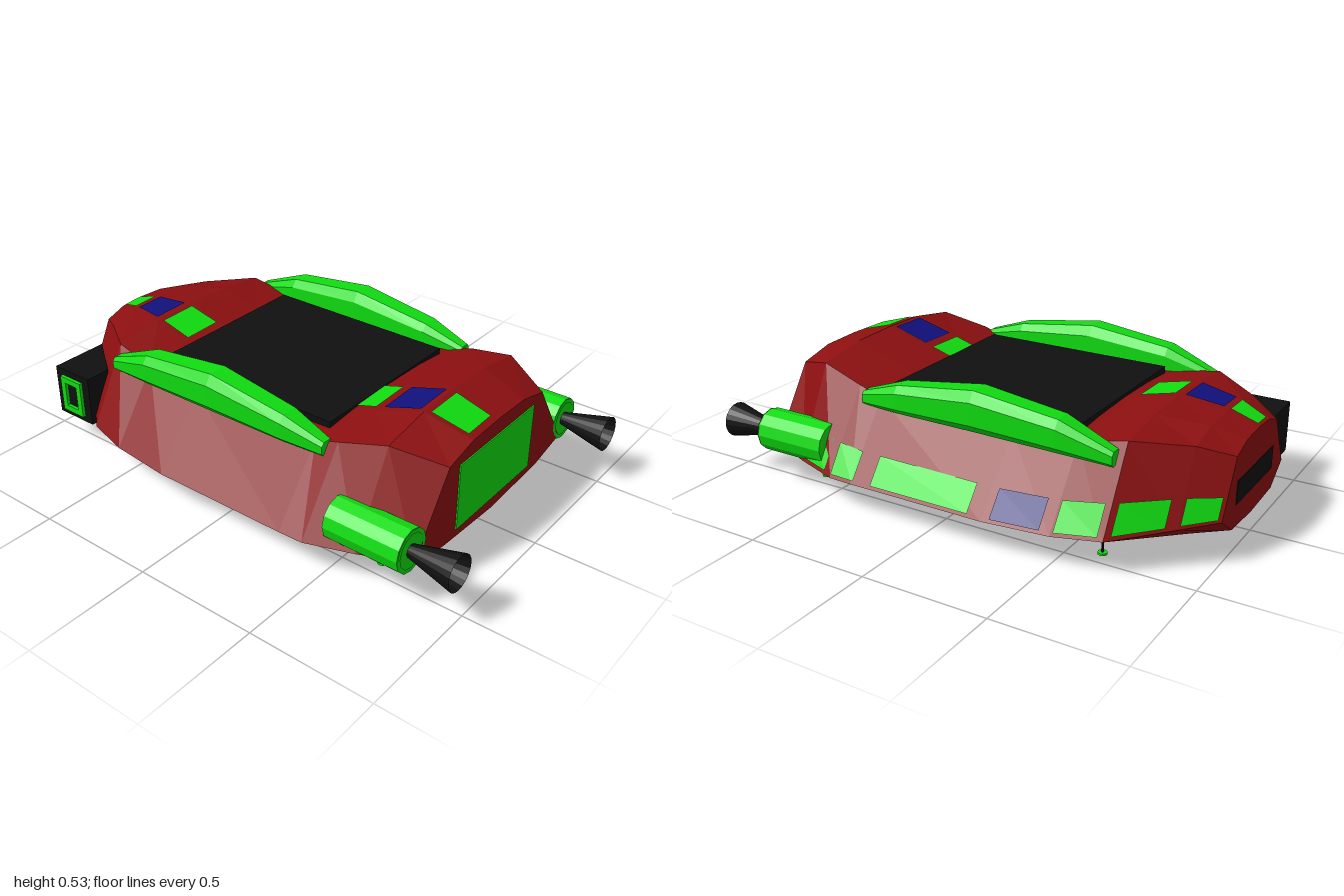
import * as THREE from 'three';

const paint = (color, extra = {}) =>
  new THREE.MeshStandardMaterial({ color, flatShading: true, ...extra });

// Hull stations, nose to tail:
// z, keelY, chineX, chineY, wideX, wideY, shoulderX, shoulderY, innerX, innerY, ridgeY
const STATIONS = [
  [0.81, 0.075, 0.33, 0.095, 0.51, 0.135, 0.32, 0.42, 0.175, 0.455, 0.46],
  [0.62, 0.05, 0.40, 0.07, 0.585, 0.125, 0.41, 0.475, 0.2, 0.51, 0.515],
  [0.43, 0.035, 0.46, 0.055, 0.645, 0.12, 0.44, 0.43, 0.21, 0.452, 0.457],
  [0.33, 0.033, 0.46, 0.055, 0.648, 0.12, 0.44, 0.40, 0.21, 0.422, 0.427],
  [-0.25, 0.028, 0.46, 0.053, 0.65, 0.12, 0.435, 0.385, 0.21, 0.40, 0.405],
  [-0.51, 0.027, 0.44, 0.055, 0.625, 0.122, 0.425, 0.40, 0.205, 0.417, 0.422],
  [-0.69, 0.035, 0.40, 0.06, 0.58, 0.13, 0.41, 0.435, 0.2, 0.46, 0.465],
  [-0.88, 0.06, 0.28, 0.08, 0.41, 0.15, 0.28, 0.41, 0.15, 0.44, 0.445],
  [-1.0, 0.08, 0.2, 0.09, 0.305, 0.165, 0.2, 0.37, 0.11, 0.4, 0.405],
];

const mix = (a, b, t) => a + (b - a) * t;

// Hull station interpolated at any z
function stationAt(z) {
  let i = 0;
  while (i < STATIONS.length - 2 && z < STATIONS[i + 1][0]) i++;
  const [a, b] = [STATIONS[i], STATIONS[i + 1]];
  const t = (z - a[0]) / (b[0] - a[0]);
  return a.map((v, k) => mix(v, b[k], t));
}

// Skin through rings ordered front to back, each counter-clockwise seen from +z
function loft(rings, closed) {
  const n = rings[0].length, idx = [];
  for (let r = 0; r < rings.length - 1; r++) {
    for (let k = 0; k < (closed ? n : n - 1); k++) {
      const a = r * n + k, b = r * n + (k + 1) % n;
      idx.push(a, a + n, b, b, a + n, b + n);
    }
  }
  if (closed) {
    const last = (rings.length - 1) * n;
    for (let k = 1; k < n - 1; k++) idx.push(0, k, k + 1, last, last + k + 1, last + k);
  }
  const g = new THREE.BufferGeometry();
  g.setAttribute('position', new THREE.Float32BufferAttribute(rings.flat(2), 3));
  g.setIndex(idx);
  const flat = g.toNonIndexed();
  flat.computeVertexNormals();
  return flat;
}

// Thin strip laid on the hull between z0 (front) and z1 (back)
function hullStrip(z0, z1, section) {
  const inner = STATIONS.map((s) => s[0]).filter((z) => z < z0 && z > z1);
  return loft([z0, ...inner, z1].map((z) => section(stationAt(z))), false);
}

export function createModel() {
  const model = new THREE.Group();
  const red = paint(0x8c0f10), green = paint(0x10dd10), blue = paint(0x10107c);
  const black = paint(0x101010), blackOpen = paint(0x101010, { side: THREE.DoubleSide });
  const greenOpen = paint(0x10dd10, { side: THREE.DoubleSide });

  const add = (name, geometry, material, x = 0, y = 0, z = 0) => {
    const m = new THREE.Mesh(geometry, material);
    m.name = name;
    m.position.set(x, y, z);
    model.add(m);
    return m;
  };

  // Faceted hull
  add('hull', loft(STATIONS.map(([z, kY, cX, cY, wX, wY, sX, sY, iX, iY, rY]) => [
    [0, kY, z], [cX, cY, z], [wX, wY, z], [sX, sY, z], [iX, iY, z],
    [0, rY, z], [-iX, iY, z], [-sX, sY, z], [-wX, wY, z], [-cX, cY, z],
  ]), true), red);

  // Green belly plate
  add('bellyPlate', hullStrip(0.81, -1, ([z, kY, cX, cY]) => [
    [-cX, cY - 0.004, z], [0, kY - 0.004, z], [cX, cY - 0.004, z],
  ]), green);

  // Broken stripe along the roof
  const roof = [[0.785, 0.64, green], [0.6, 0.45, blue], [0.415, 0.33, green],
    [-0.53, -0.67, green], [-0.71, -0.86, blue], [-0.885, -0.99, green]];
  for (const [z0, z1, mat] of roof) {
    add('roofStripe', hullStrip(z0, z1, (s) => {
      const x = s[8] * 0.93;
      return [[-0.02, s[10] + 0.004, s[0]], [-x, s[9] + 0.005, s[0]]];
    }), mat);
  }

  // Broken stripe along the left flank
  const flank = [[0.6, 0.47, green], [0.43, 0.32, green], [0.24, -0.19, green],
    [-0.28, -0.47, blue], [-0.52, -0.67, green], [-0.71, -0.85, green], [-0.89, -0.99, green]];
  for (const [z0, z1, mat] of flank) {
    add('flankStripe', hullStrip(z0, z1, (s) => [0.04, 0.38].map((t) =>
      [mix(s[4], s[6], t) + 0.006, mix(s[5], s[7], t) + 0.003, s[0]])), mat);
  }

  // Stripe under the right chine
  const chine = [[0.42, 0.3, green], [0.24, -0.42, blue], [-0.48, -0.66, green], [-0.71, -0.85, green]];
  for (const [z0, z1, mat] of chine) {
    add('chineStripe', hullStrip(z0, z1, (s) => [0.15, 0.75].map((t) =>
      [-mix(s[4], s[2], t), mix(s[5], s[3], t) - 0.005, s[0]])), mat);
  }

  // Deck, nose panel and tail vent
  add('deck', new THREE.BoxGeometry(0.715, 0.04, 0.81), black, 0, 0.412, -0.075);
  add('nosePanel', new THREE.BoxGeometry(0.51, 0.27, 0.01), green, 0, 0.26, 0.81);
  add('tailVent', new THREE.BoxGeometry(0.36, 0.09, 0.01), black, 0, 0.225, -0.998);

  // Roof pod cross-sections: z, half width, bottom, top
  const podRows = [[0.39, 0.03, 0.37, 0.425], [0.22, 0.055, 0.37, 0.482],
    [-0.12, 0.066, 0.372, 0.53], [-0.46, 0.057, 0.365, 0.49], [-0.665, 0.03, 0.355, 0.41]];
  const podGeometry = loft(podRows.map(([z, w, b, t]) => {
    const c = w * 0.6, lo = mix(b, t, 0.2), hi = mix(b, t, 0.75);
    return [[-c, b, z], [c, b, z], [w, lo, z], [w, hi, z], [c, t, z], [-c, t, z], [-w, hi, z], [-w, lo, z]];
  }), true);

  // Engine and flared nozzle
  const engineGeometry = new THREE.CylinderGeometry(0.085, 0.085, 0.31, 12).rotateX(Math.PI / 2);
  const rimGeometry = new THREE.RingGeometry(0.068, 0.085, 12);
  const nozzleGeometry = new THREE.CylinderGeometry(0.07, 0.026, 0.19, 20, 1, true).rotateX(Math.PI / 2);
  const throatGeometry = new THREE.CircleGeometry(0.026, 20);
  const ridgeGeometry = new THREE.SphereGeometry(1, 8, 10).scale(0.042, 0.02, 0.46);

  for (const side of [-1, 1]) {
    add('roofPod', podGeometry, green, side * 0.45);
    add('engine', engineGeometry, green, side * 0.535, 0.203, 0.655);
    add('engineRim', rimGeometry, greenOpen, side * 0.535, 0.203, 0.813);
    add('nozzle', nozzleGeometry, blackOpen, side * 0.535, 0.203, 0.905);
    add('nozzleThroat', throatGeometry, blackOpen, side * 0.535, 0.203, 0.815);
    add('bellyRidge', ridgeGeometry, green, side * 0.3, 0.044, -0.03);
    // Landing legs
    for (const z of [0.63, -0.62]) {
      add('leg', new THREE.CylinderGeometry(0.005, 0.005, 0.09, 8), black, side * 0.437, 0.05, z);
      add('foot', new THREE.CylinderGeometry(0.018, 0.018, 0.008, 12), green, side * 0.437, 0.004, z);
    }
  }

  // Side box at the right rear, wedge-shaped in plan
  const plan = new THREE.Shape([[-0.55, 0.94], [-0.55, 0.75], [-0.44, 0.75], [-0.3, 0.94]]
    .map(([x, y]) => new THREE.Vector2(x, y)));
  const boxGeometry = new THREE.ExtrudeGeometry(plan, { depth: 0.21, bevelEnabled: false });
  add('sideBox', boxGeometry.rotateX(-Math.PI / 2), black, 0, 0.1, 0);

  // Green frame on its outer face
  for (const s of [-1, 1]) {
    add('boxFramePost', new THREE.BoxGeometry(0.014, 0.15, 0.025), green, -0.557, 0.205, -0.845 + s * 0.045);
    add('boxFrameRail', new THREE.BoxGeometry(0.014, 0.025, 0.115), green, -0.557, 0.205 + s * 0.065, -0.845);
  }
  return model;
}
